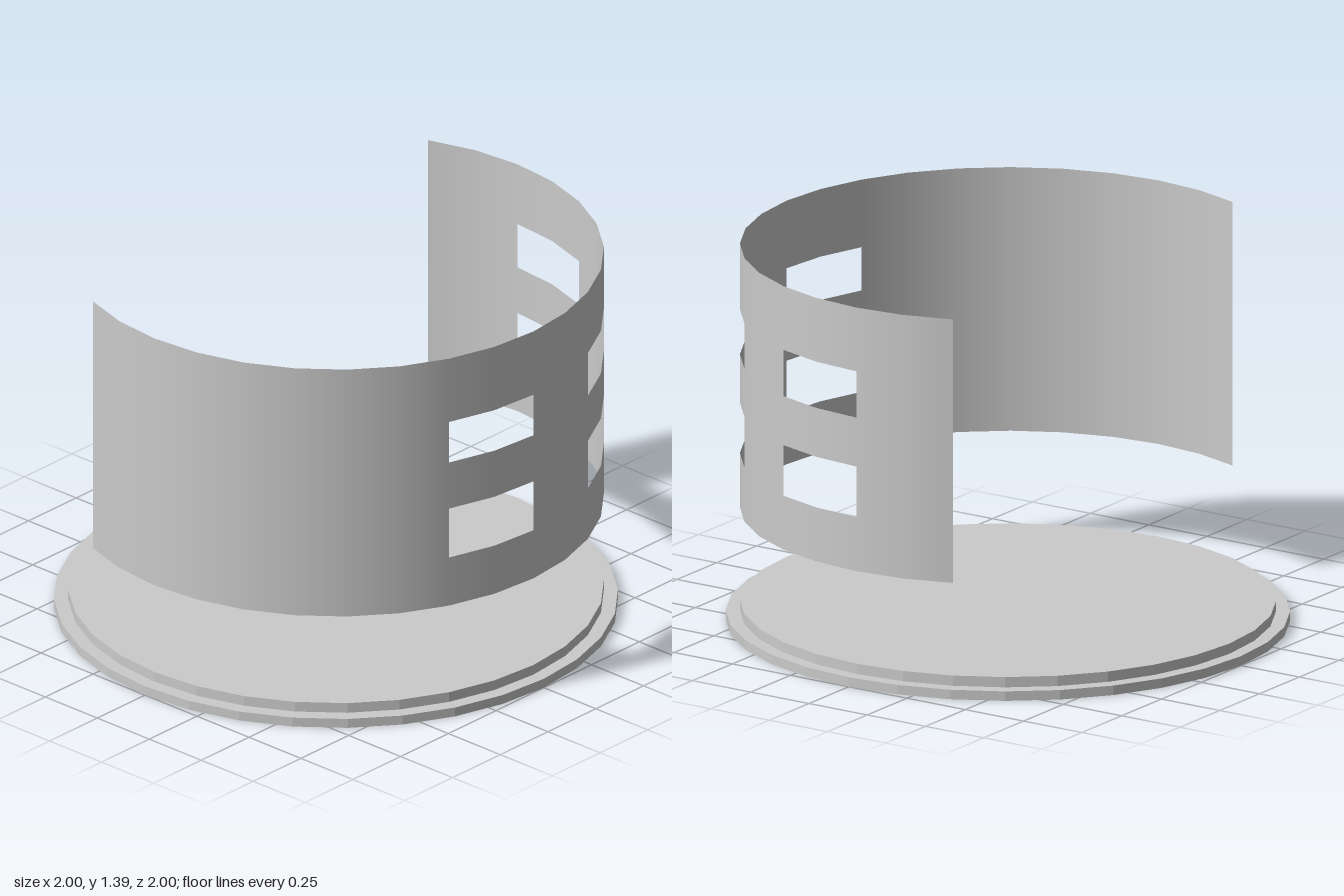
import * as THREE from 'three';
import { mergeGeometries } from 'three/addons/utils/BufferGeometryUtils.js';

const SIDES = 32;
const STEP = (Math.PI * 2) / SIDES;
const WALL_RADIUS = 0.95;
const WALL_BOTTOM = 0.415;
const WALL_TOP = 1.39;

// Curved wall strip spanning whole facets, counted from +z towards +x
function strip(from, to, bottom, top) {
  const g = new THREE.CylinderGeometry(
    WALL_RADIUS, WALL_RADIUS, top - bottom, to - from, 1, true, from * STEP, (to - from) * STEP);
  return g.translate(0, (bottom + top) / 2, 0);
}

// Flat-shaded disc standing on the given height
function disc(name, radius, bottom, top) {
  const material = new THREE.MeshStandardMaterial({ color: 0xcccccc, flatShading: true });
  const mesh = new THREE.Mesh(new THREE.CylinderGeometry(radius, radius, top - bottom, SIDES), material);
  mesh.position.y = (bottom + top) / 2;
  mesh.name = name;
  return mesh;
}

export function createModel() {
  const model = new THREE.Group();
  model.name = 'roundRoomKit';

  // Stepped floor
  model.add(disc('floorRim', 1, 0, 0.035));
  model.add(disc('floorPlate', WALL_RADIUS, 0.035, 0.073));

  // Window columns: first facet, then sill and head heights of the two rows
  const columns = [
    { at: -2, lower: [0.605, 0.798], upper: [0.98, 1.14] },
    { at: 2, lower: [0.615, 0.802], upper: [0.98, 1.148] },
    { at: 6, lower: [0.615, 0.802], upper: [0.983, 1.154] },
  ];

  // Open wall floating above the floor, with gaps left for the windows
  const strips = [];
  let start = -10;
  for (const { at, lower, upper } of columns) {
    strips.push(strip(start, at, WALL_BOTTOM, WALL_TOP));
    strips.push(strip(at, at + 2, WALL_BOTTOM, lower[0]));
    strips.push(strip(at, at + 2, lower[1], upper[0]));
    strips.push(strip(at, at + 2, upper[1], WALL_TOP));
    start = at + 2;
  }
  strips.push(strip(start, 10, WALL_BOTTOM, WALL_TOP));

  const wall = new THREE.Mesh(
    mergeGeometries(strips),
    new THREE.MeshStandardMaterial({ color: 0xcccccc, side: THREE.DoubleSide }));
  wall.name = 'windowWall';
  model.add(wall);

  return model;
}
